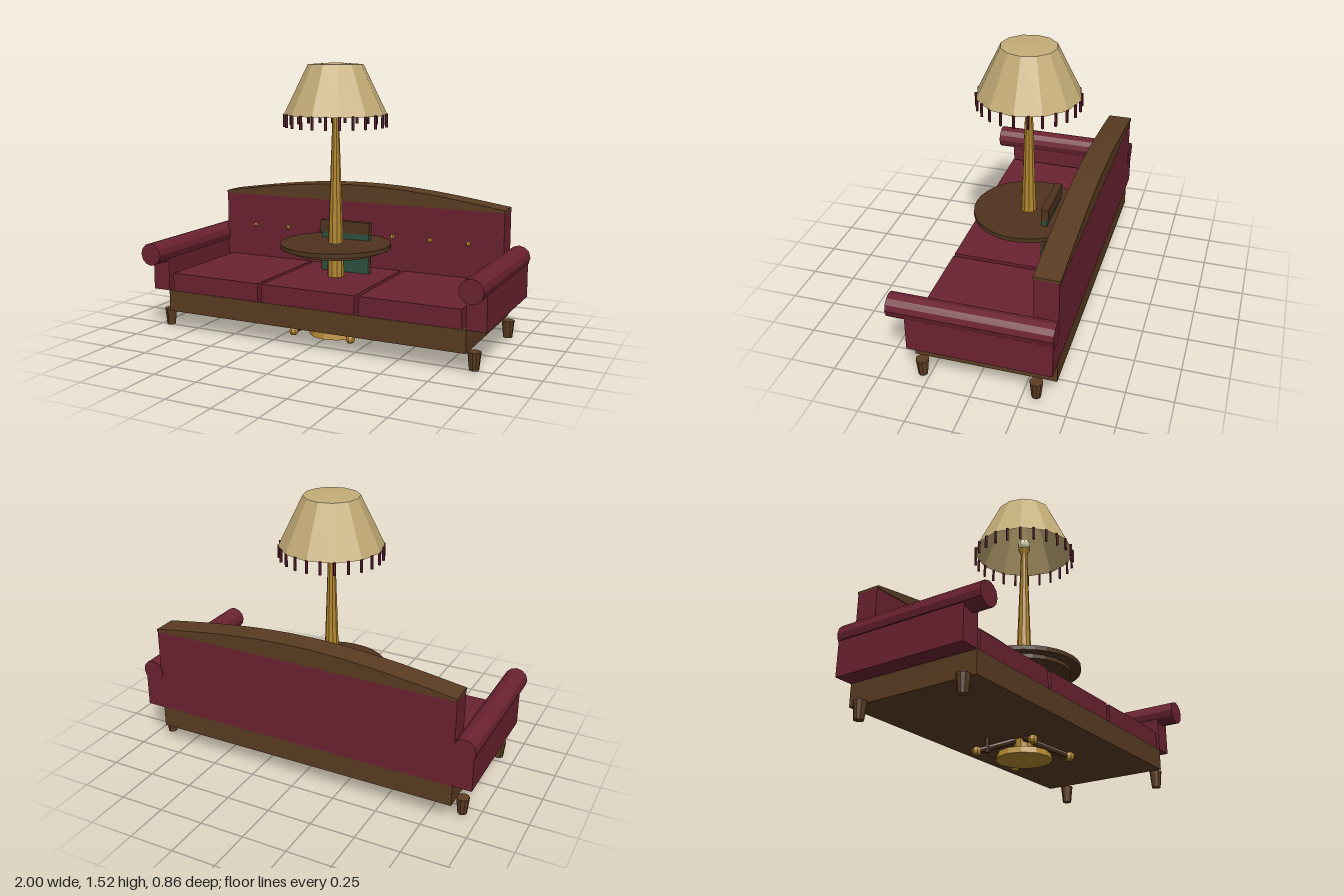
import * as THREE from 'three';

export function createModel() {
  const model = new THREE.Group();
  const mat = (name, color, extra = {}) => {
    const m = new THREE.MeshStandardMaterial({ color, flatShading: true, ...extra });
    m.name = name;
    return m;
  };
  const fabric = mat('crimson fabric', 0x6b2231);
  const wood = mat('walnut wood', 0x5a3c22);
  const darkWood = mat('dark wood', 0x50341e);
  const brass = mat('brass', 0xb3872f);
  const shadeCloth = mat('shade cloth', 0xc4ac77, { side: THREE.DoubleSide });
  const fringe = mat('fringe', 0x5f1c2d);
  const green = mat('green leather', 0x2d5040);
  const glass = mat('bulb glass', 0xe8dcb8);

  const add = (name, geometry, material, x = 0, y = 0, z = 0, parent = model) => {
    const m = new THREE.Mesh(geometry, material);
    m.name = name;
    m.position.set(x, y, z);
    parent.add(m);
    return m;
  };
  // Box given by its minimum and maximum on each axis
  const box = (name, material, [x0, x1], [y0, y1], [z0, z1], parent) =>
    add(name, new THREE.BoxGeometry(x1 - x0, y1 - y0, z1 - z0), material,
      (x0 + x1) / 2, (y0 + y1) / 2, (z0 + z1) / 2, parent);
  // Upright cylinder given by its bottom and top
  const column = (name, material, rBottom, rTop, y0, y1, sides, x = 0, z = 0, parent) =>
    add(name, new THREE.CylinderGeometry(rTop, rBottom, y1 - y0, sides), material,
      x, (y0 + y1) / 2, z, parent);

  // Sofa
  const sofa = new THREE.Group();
  sofa.name = 'sofa';
  model.add(sofa);
  box('baseFrame', wood, [-0.885, 0.885], [0.108, 0.228], [-0.425, 0.333], sofa);
  box('backrest', fabric, [-0.885, 0.885], [0.228, 0.712], [-0.427, -0.3], sofa);
  for (const x of [-0.58, 0, 0.58]) {
    box('seatCushion', fabric, [x - 0.278, x + 0.278], [0.228, 0.33], [-0.3, 0.328], sofa);
  }

  // Arched top rail
  const arch = new THREE.Shape();
  arch.moveTo(-0.885, 0.712);
  arch.lineTo(0.885, 0.712);
  for (let i = 0; i <= 16; i++) {
    const t = 1 - i / 8;
    arch.lineTo(0.885 * t, 0.726 + 0.086 * Math.cos(t * Math.PI / 2));
  }
  add('topRail', new THREE.ExtrudeGeometry(arch, { depth: 0.137, bevelEnabled: false }),
    wood, 0, 0, -0.432, sofa);

  // Tufting buttons
  for (let i = -3; i <= 3; i++) {
    add('backButton', new THREE.SphereGeometry(0.014, 6, 5), brass, i * 0.228, 0.525, -0.297, sofa);
  }

  // Arms and feet, mirrored
  for (const s of [-1, 1]) {
    add('armPanel', new THREE.BoxGeometry(0.105, 0.222, 0.76), fabric, s * 0.936, 0.339, -0.047, sofa);
    const roll = add('armRoll', new THREE.CylinderGeometry(0.064, 0.064, 0.86, 12), fabric,
      s * 0.936, 0.45, 0, sofa);
    roll.rotation.x = Math.PI / 2;
    for (const z of [-0.325, 0.283]) {
      column('foot', wood, 0.025, 0.035, 0.015, 0.11, 10, s * 0.914, z, sofa);
    }
  }

  // Pedestal table on four splayed legs
  const lampZ = -0.022;
  const table = new THREE.Group();
  table.name = 'pedestalTable';
  table.position.z = lampZ;
  model.add(table);
  column('tableTop', darkWood, 0.31, 0.31, 0.497, 0.522, 32, 0, 0, table);
  column('tableApron', darkWood, 0.255, 0.255, 0.474, 0.497, 24, 0, 0, table);
  column('collar', darkWood, 0.045, 0.065, 0.435, 0.474, 12, 0, 0, table);
  column('pedestal', brass, 0.052, 0.045, 0.04, 0.435, 10, 0, 0, table);
  column('basePlate', brass, 0.15, 0.14, 0, 0.035, 12, 0, 0, table);
  const up = new THREE.Vector3(0, 1, 0);
  for (const sx of [-1, 1]) {
    for (const sz of [-1, 1]) {
      const a = new THREE.Vector3(sx * 0.175, 0.035, sz * 0.175);
      const b = new THREE.Vector3(sx * 0.02, 0.11, sz * 0.02);
      const dir = b.clone().sub(a);
      const mid = a.clone().add(b).multiplyScalar(0.5);
      const leg = add('tableLeg', new THREE.CylinderGeometry(0.018, 0.016, dir.length(), 8),
        darkWood, mid.x, mid.y, mid.z, table);
      leg.quaternion.setFromUnitVectors(up, dir.normalize());
      add('legCap', new THREE.SphereGeometry(0.026, 8, 6), brass, a.x, a.y, a.z, table);
    }
  }

  // Upright panel behind the lamp
  box('panel', green, [-0.14, 0.15], [0.2, 0.556], [-0.17, -0.135]);
  box('panelRail', darkWood, [-0.152, 0.152], [0.553, 0.623], [-0.176, -0.135]);
  for (const x of [-0.14, 0.14]) column('panelPost', darkWood, 0.013, 0.016, 0.03, 0.5, 8, x, -0.155);

  // Lamp
  const lamp = new THREE.Group();
  lamp.name = 'lamp';
  lamp.position.z = lampZ;
  model.add(lamp);
  column('lampPole', brass, 0.043, 0.018, 0.52, 1.235, 10, 0, 0, lamp);
  column('lampSocket', brass, 0.02, 0.035, 1.225, 1.26, 10, 0, 0, lamp);
  add('bulb', new THREE.SphereGeometry(0.036, 10, 8), glass, 0, 1.29, 0, lamp);
  const profile = [[0.285, 1.237], [0.152, 1.51], [0, 1.52]].map(([r, y]) => new THREE.Vector2(r, y));
  add('lampShade', new THREE.LatheGeometry(profile, 12), shadeCloth, 0, 0, 0, lamp);
  for (let i = 0; i < 24; i++) {
    const a = i * Math.PI / 12;
    column('tassel', fringe, 0.008, 0.008, 1.17, 1.242, 6,
      0.28 * Math.sin(a), 0.28 * Math.cos(a), lamp);
  }
  return model;
}
